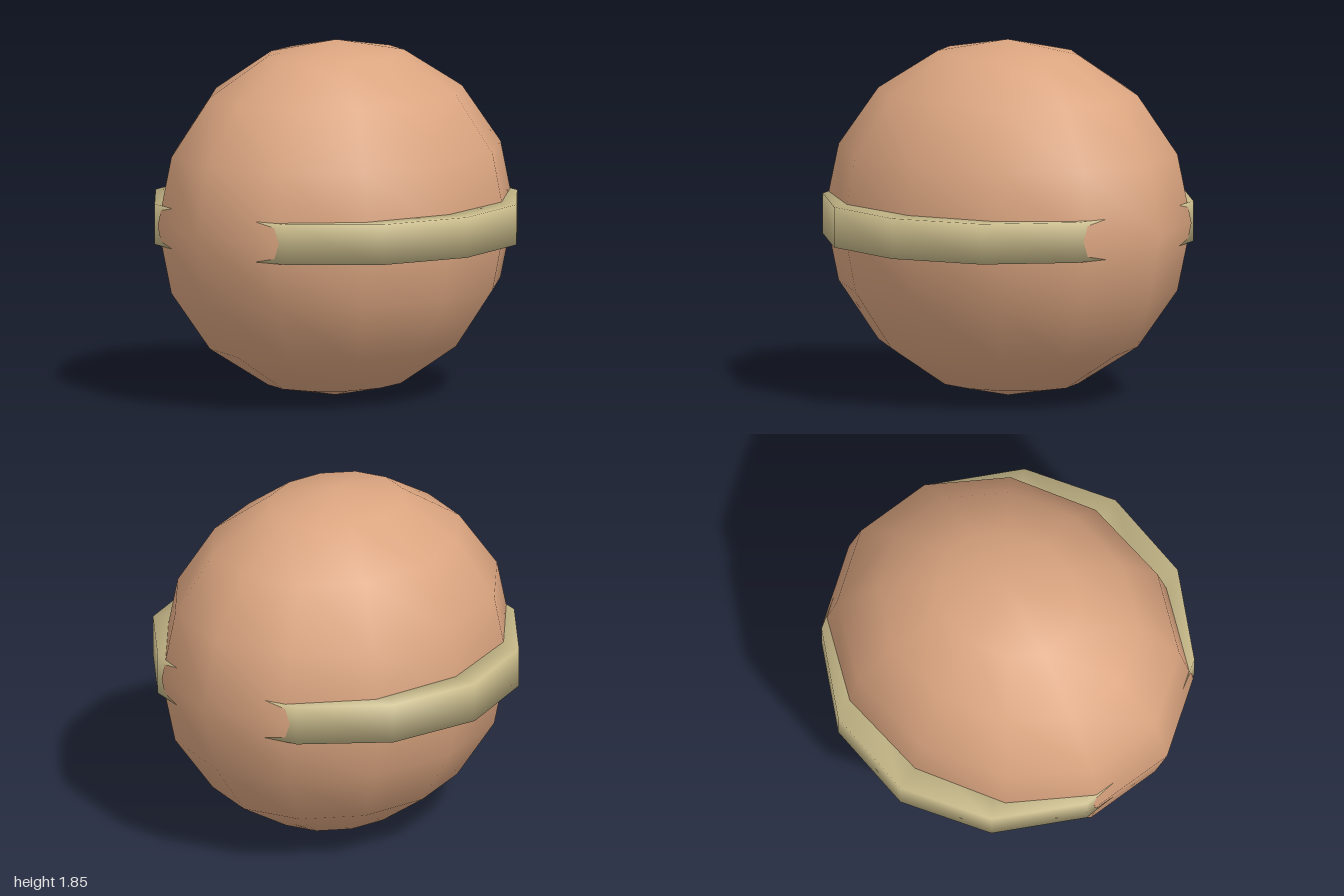
import * as THREE from 'three';

export function createModel() {
  const model = new THREE.Group();
  const centreY = 0.925;

  function addPart(name, geometry, color) {
    const mesh = new THREE.Mesh(geometry, new THREE.MeshStandardMaterial({ color }));
    mesh.name = name;
    mesh.position.y = centreY;
    model.add(mesh);
  }

  // Rounded body, widest from side to side
  const body = new THREE.SphereGeometry(1, 12, 8);
  body.scale(1, 0.925, 0.85);
  addPart('body', body, 0xdba580);

  // Square-section ring around the middle, its sides sunk into the body
  const outer = 0.963, inner = 0.753, half = 0.105;
  const section = [
    [inner, -half], [outer, -half], [outer, half], [inner, half], [inner, -half],
  ].map(([r, y]) => new THREE.Vector2(r, y));
  addPart('band', new THREE.LatheGeometry(section, 12), 0xc8ba8a);

  return model;
}
